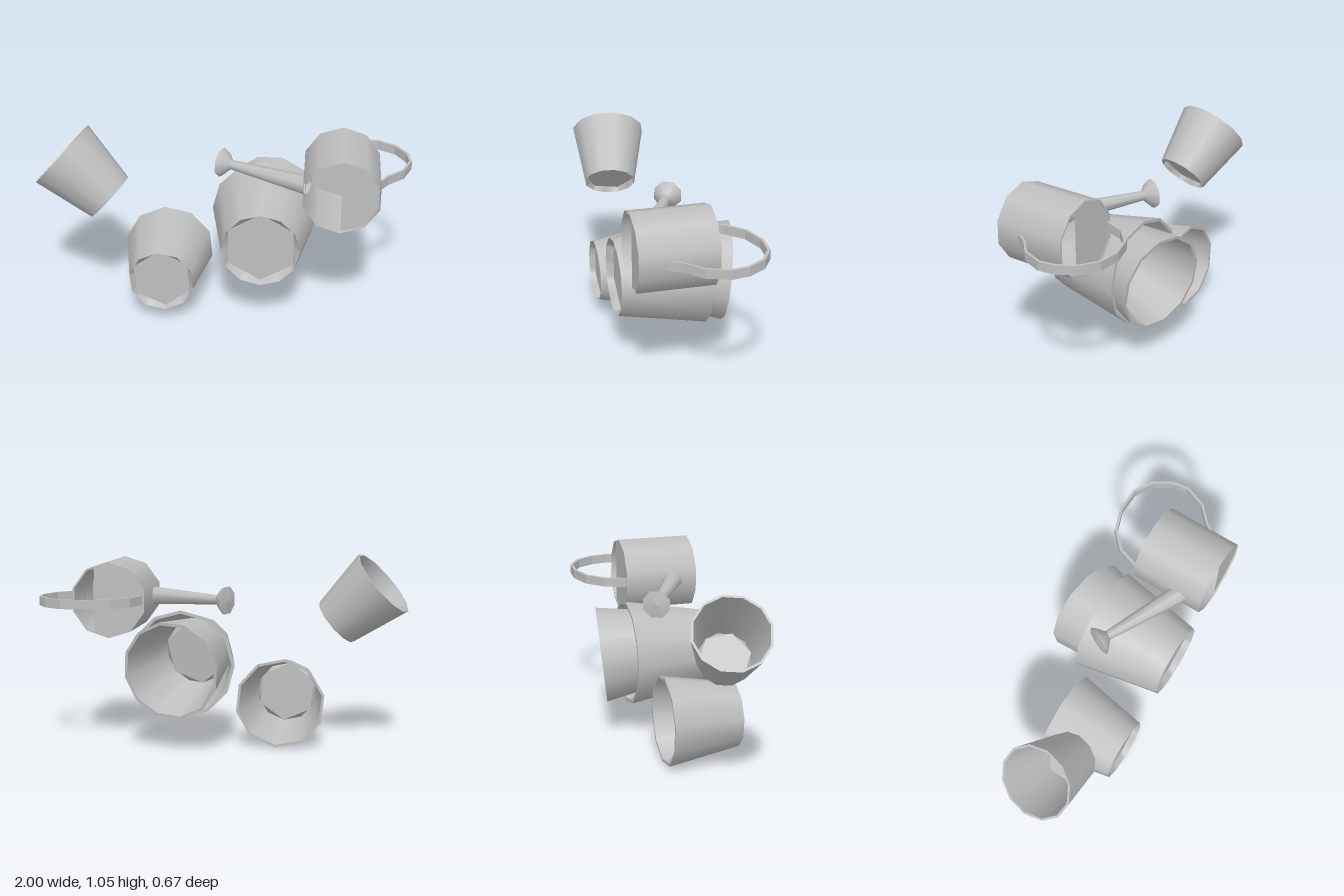
import * as THREE from 'three';

const metal = new THREE.MeshStandardMaterial({ color: 0xbfbfbf, side: THREE.DoubleSide });
metal.name = 'plain grey';
const UP = new THREE.Vector3(0, 1, 0);

function add(parent, name, geometry) {
  const mesh = new THREE.Mesh(geometry, metal);
  mesh.name = name;
  parent.add(mesh);
  return mesh;
}

// Stand a part on a point with its own y axis along a direction
function aim(object, base, dir) {
  object.position.set(...base);
  object.quaternion.setFromUnitVectors(UP, new THREE.Vector3(...dir).normalize());
  return object;
}

// Distance from the centre to a regular polygon's outline
function polyRadius(sides, r, angle) {
  const step = (2 * Math.PI) / sides;
  const a = ((angle % step) + step) % step - step / 2;
  return r * Math.cos(step / 2) / Math.cos(a);
}

// Sloping band between a many-sided foot and a six-sided floor
function footBand(sides, r, floorR, depth) {
  const count = 60, pos = [], index = [];
  for (let i = 0; i <= count; i++) {
    const a = (i / count) * 2 * Math.PI;
    const o = polyRadius(sides, r, a), f = polyRadius(6, floorR, a);
    pos.push(o * Math.sin(a), 0, o * Math.cos(a), f * Math.sin(a), depth, f * Math.cos(a));
    if (i < count) index.push(2 * i, 2 * i + 1, 2 * i + 2, 2 * i + 1, 2 * i + 3, 2 * i + 2);
  }
  const g = new THREE.BufferGeometry();
  g.setAttribute('position', new THREE.Float32BufferAttribute(pos, 3));
  g.setIndex(index);
  g.computeVertexNormals();
  return g;
}

// Tapered wall with a flat lip and a thin inner wall
function shell(group, topR, baseR, height, sides, wall, innerStart) {
  add(group, 'outerWall', new THREE.CylinderGeometry(topR, baseR, height, sides, 1, true)
    .translate(0, height / 2, 0));
  const innerH = height - innerStart;
  const innerBase = baseR + (topR - baseR) * innerStart / height - wall;
  add(group, 'innerWall', new THREE.CylinderGeometry(topR - wall, innerBase, innerH, sides, 1, true)
    .translate(0, innerStart + innerH / 2, 0));
  add(group, 'lip', new THREE.RingGeometry(topR - wall, topR, sides, 1, Math.PI / 2)
    .rotateX(Math.PI / 2).translate(0, height, 0));
}

function pot(name, topR, baseR, height, sides, turn = 0) {
  const group = new THREE.Group();
  group.name = name;
  const body = new THREE.Group();
  body.rotation.y = turn;
  group.add(body);
  const depth = height * 0.08, floorR = baseR * 0.95;
  shell(body, topR, baseR, height, sides, topR * 0.06, depth);
  add(body, 'foot', footBand(sides, baseR, floorR, depth));
  add(body, 'floor', new THREE.CircleGeometry(floorR, 6, Math.PI / 2)
    .rotateX(Math.PI / 2).translate(0, depth, 0));
  return group;
}

function wateringCan() {
  const can = new THREE.Group();
  can.name = 'wateringCan';
  const cx = 0.625, cy = 0.8, r = 0.21;

  // Body
  const body = new THREE.Group();
  body.name = 'canBody';
  shell(body, r, r, 0.41, 10, 0.01, 0);
  can.add(aim(body, [cx, cy, 0.33], [0, 0, -1]));

  // Half base and half cover on opposite sides
  add(can, 'halfBase', new THREE.CircleGeometry(r - 0.008, 5, -Math.PI / 2, Math.PI)
    .translate(cx, cy, 0.322));
  const cover = new THREE.Shape();
  cover.moveTo(0.08, 0.182);
  for (let i = 0; i <= 5; i++) {
    const a = Math.PI / 2 + i * Math.PI / 5;
    cover.lineTo((r - 0.003) * Math.cos(a), (r - 0.003) * Math.sin(a));
  }
  cover.lineTo(0.08, -0.182);
  add(can, 'halfCover', new THREE.ShapeGeometry(cover).translate(cx, cy, -0.077));

  // Spout and sprinkler head share one axis
  const start = new THREE.Vector3(0.445, 0.8, 0.2), end = new THREE.Vector3(0.02, 0.805, -0.005);
  const dir = end.clone().sub(start), len = dir.length();
  const spout = new THREE.Group();
  spout.name = 'spout';
  add(spout, 'spoutTube', new THREE.CylinderGeometry(0.025, 0.052, len, 8, 1, true)
    .translate(0, len / 2, 0));
  can.add(aim(spout, start.toArray(), dir.toArray()));
  const head = new THREE.Group();
  head.name = 'sprinklerHead';
  const profile = [[0.025, -0.01], [0.05, 0.01], [0.075, 0.035], [0.08, 0.05]]
    .map(([a, b]) => new THREE.Vector2(a, b));
  add(head, 'headCup', new THREE.LatheGeometry(profile, 8));
  add(head, 'headFace', new THREE.ConeGeometry(0.08, 0.012, 8, 1, true).translate(0, 0.056, 0));
  can.add(aim(head, end.toArray(), [-0.91, 0, -0.41]));

  // Flat strap handle looping over the opening, as x and z points
  const outer = [[0.435, -0.08], [0.475, -0.2], [0.565, -0.29], [0.695, -0.335], [0.825, -0.33],
    [0.925, -0.27], [0.985, -0.175], [1, -0.08], [0.955, 0.04], [0.87, 0.12], [0.82, 0.2]];
  const inner = outer.map(([x, z]) => [0.72 + (x - 0.72) * 0.945, -0.05 + (z + 0.05) * 0.945]);
  const strap = new THREE.Shape([...outer, ...inner.reverse()].map(([x, z]) => new THREE.Vector2(x, z)));
  add(can, 'handle', new THREE.ExtrudeGeometry(strap, { depth: 0.05, bevelEnabled: false })
    .rotateX(Math.PI / 2).translate(0, 0.828, 0));
  return can;
}

export function createModel() {
  const model = new THREE.Group();
  model.name = 'gardenPotsAndCan';
  const back = [0, 0, -1];
  model.add(
    aim(pot('smallPot', 0.247, 0.176, 0.395, 10, -0.1), [-0.322, 0.25, 0.33], back),
    aim(pot('largePot', 0.295, 0.21, 0.47, 12), [0.21, 0.465, 0.33], back),
    aim(pot('nestedPot', 0.27, 0.19, 0.44, 12), [0.165, 0.497, 0.155], [0.18, -0.11, -1]),
    aim(pot('tippedPot', 0.207, 0.145, 0.343, 12), [-0.608, 0.673, 0.175], [-0.257, 0.227, -0.045]),
    wateringCan()
  );
  return model;
}
